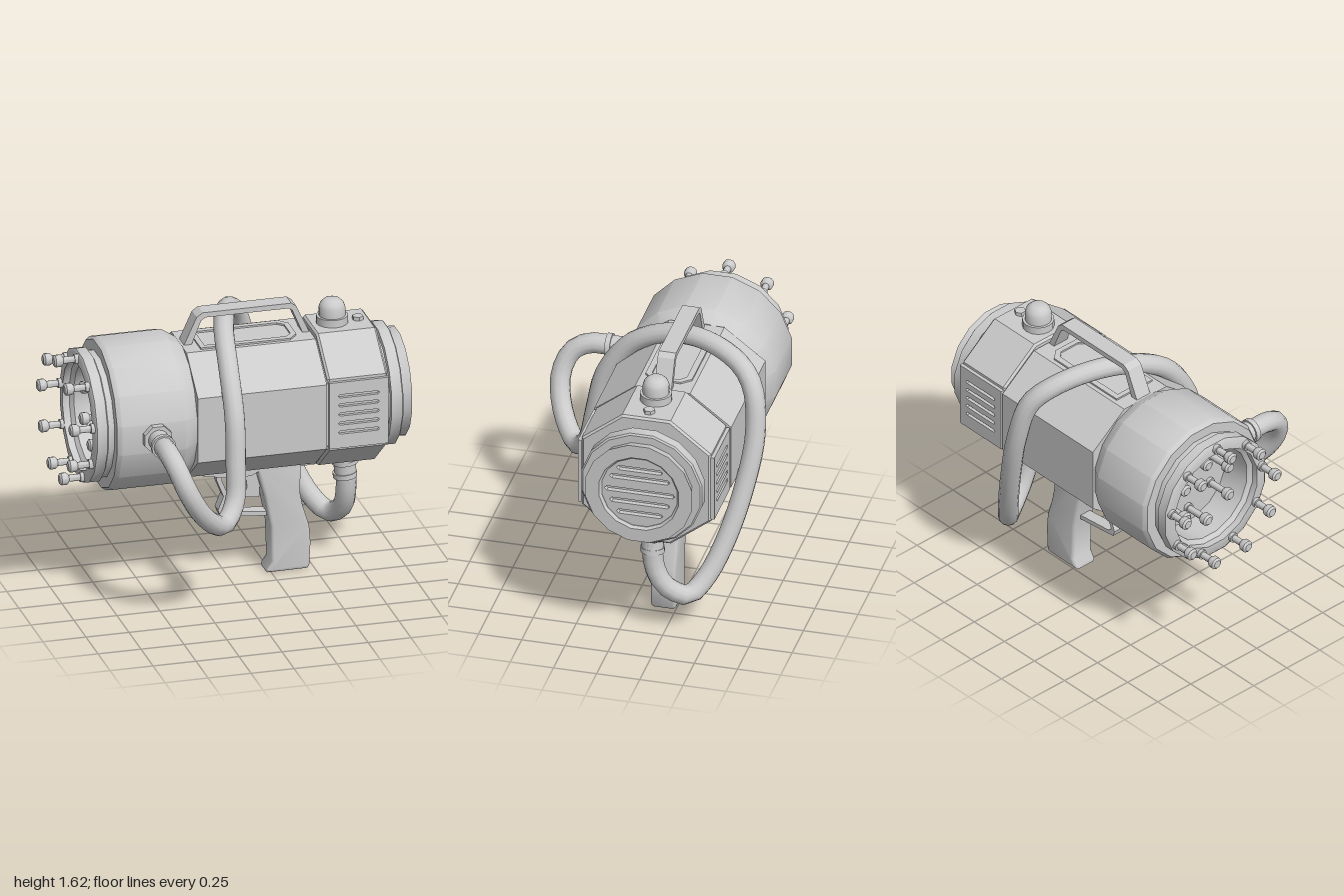
import * as THREE from 'three';
import { toCreasedNormals } from 'three/addons/utils/BufferGeometryUtils.js';

const CY = 1.055, CZ = -0.178; // main axis of the body, along x
const mat = new THREE.MeshStandardMaterial({ color: 0xcccccc, side: THREE.DoubleSide });

function add(parent, name, geo, x = 0, y = 0, z = 0, crease = 0.6) {
  const m = new THREE.Mesh(toCreasedNormals(geo, crease), mat);
  m.name = name;
  m.position.set(x, y, z);
  parent.add(m);
  return m;
}

const poly = (pts) => new THREE.Shape(pts.map(([x, y]) => new THREE.Vector2(x, y)));

// Profile of [radius, x] points turned about the x axis, flats facing up and down
function turned(pts, sides) {
  const step = (Math.PI * 2) / sides;
  return new THREE.LatheGeometry(pts.map(([r, x]) => new THREE.Vector2(r, x)), sides, step / 2)
    .rotateZ(-Math.PI / 2);
}

// Extrusion centred on z, with an optional inward bevel that keeps the outline
function slab(shape, width, bevel = 0, bevelSegments = 1) {
  const depth = width - 2 * bevel;
  return new THREE.ExtrudeGeometry(shape, {
    depth, bevelEnabled: bevel > 0, bevelSize: bevel, bevelThickness: bevel,
    bevelOffset: -bevel, bevelSegments, curveSegments: 16,
  }).translate(0, 0, -depth / 2);
}

// Slot with pointed ends
function slot(x, y, half, h = 0.014) {
  return poly([[x - half, y], [x - half + h, y - h], [x + half - h, y - h],
    [x + half, y], [x + half - h, y + h], [x - half + h, y + h]]);
}

// Octagonal section running from x0 to x1
function octagon(w, h, topHalf, sideHalf, x0, x1, bevel) {
  const s = poly([[topHalf, -h], [w, -sideHalf], [w, sideHalf], [topHalf, h],
    [-topHalf, h], [-w, sideHalf], [-w, -sideHalf], [-topHalf, -h]]);
  return slab(s, x1 - x0, bevel).rotateY(Math.PI / 2).translate((x0 + x1) / 2, 0, 0);
}

// Ring of bolts pointing to -x
function boltRing(parent, name, count, radius, tip, length) {
  const geo = turned([[0, 0], [0.024, 0], [0.036, 0.01], [0.036, 0.04], [0.026, 0.052],
    [0.02, 0.055], [0.02, length - 0.03], [0.029, length - 0.03], [0.029, length]], 10);
  for (let i = 0; i < count; i++) {
    const a = Math.PI / 2 + (i * Math.PI * 2) / count;
    add(parent, name, geo, tip, radius * Math.sin(a), radius * Math.cos(a), 0.7);
  }
}

export function createModel() {
  const root = new THREE.Group();
  root.name = 'hoseBlaster';
  const body = new THREE.Group();
  body.name = 'body';
  body.position.set(0, CY, CZ);
  root.add(body);

  // Open barrel with stepped muzzle ring and taper into the body
  add(body, 'barrel', turned([[0, -0.62], [0.29, -0.62], [0.29, -0.8], [0.315, -0.82], [0.315, -0.86],
    [0.37, -0.86], [0.385, -0.85], [0.385, -0.79], [0.365, -0.78], [0.365, -0.745], [0.425, -0.745],
    [0.442, -0.72], [0.442, -0.35], [0.39, -0.27], [0, -0.27]], 16));
  boltRing(body, 'muzzleBolt', 9, 0.345, -1, 0.15);
  boltRing(body, 'innerBolt', 6, 0.19, -0.8, 0.19);

  // Octagonal middle and rear housings
  add(body, 'middleHousing', octagon(0.398, 0.378, 0.16, 0.195, -0.27, 0.48), 0, 0, 0, 0.3);
  add(body, 'housingSeam', octagon(0.37, 0.365, 0.14, 0.19, 0.47, 0.51), 0, 0, 0, 0.3);
  add(body, 'rearHousing', octagon(0.375, 0.4, 0.14, 0.216, 0.49, 0.84, 0.012), 0, 0, 0, 0.3);

  // Slotted side vents on both sides of the rear housing
  const plate = poly([[-0.172, -0.2], [0.172, -0.2], [0.172, 0.2], [-0.172, 0.2]]);
  for (let i = 0; i < 5; i++) plate.holes.push(slot(0, 0.115 - i * 0.055, 0.12, 0.01));
  const plateGeo = slab(plate, 0.022);
  for (const s of [1, -1]) add(body, 'sideVent', plateGeo, 0.667, 0, s * 0.384, 0.3);

  // Rear rings, flared lip and slotted end grille
  add(body, 'rearRing', turned([[0.335, 0.83], [0.335, 0.865], [0.355, 0.87], [0.355, 0.932],
    [0.345, 0.94], [0.298, 0.94], [0.315, 1], [0.235, 1], [0.222, 0.985], [0.222, 0.95], [0, 0.95]], 16));
  const grille = new THREE.Shape().absarc(0, 0, 0.224, 0, Math.PI * 2);
  [[0.143, 0.135], [0.085, 0.175], [0, 0.205], [-0.07, 0.175], [-0.14, 0.135]]
    .forEach(([y, half]) => grille.holes.push(slot(0, y, half)));
  add(body, 'endGrille', slab(grille, 0.03).rotateY(Math.PI / 2), 0.965, 0, 0, 0.3);

  // Raised frame on top of the middle housing
  const frame = poly([[-0.18, 0.135], [0.34, 0.135], [0.39, 0.08], [0.39, -0.08], [0.34, -0.135], [-0.18, -0.135]]);
  frame.holes.push(poly([[-0.15, 0.1], [0.325, 0.1], [0.36, 0.065], [0.36, -0.065], [0.325, -0.1], [-0.15, -0.1]]));
  add(body, 'topFrame', slab(frame, 0.016).rotateX(-Math.PI / 2), 0, 0.38, 0, 0.3);

  // Carrying handle
  const handle = poly([[-0.26, 1.42], [-0.18, 1.595], [-0.145, 1.618], [0.37, 1.618], [0.4, 1.595],
    [0.48, 1.42], [0.44, 1.42], [0.375, 1.575], [0.355, 1.588], [-0.13, 1.588], [-0.155, 1.57], [-0.215, 1.42]]);
  add(root, 'carryHandle', slab(handle, 0.1), 0, 0, CZ, 0.3);

  // Domed cap and small hex knob on the rear housing
  add(root, 'capBase', new THREE.CylinderGeometry(0.09, 0.09, 0.05, 16), 0.62, 1.475, CZ);
  const dome = [[0.075, 0], [0.075, 0.055], [0.066, 0.08], [0.045, 0.1], [0.03, 0.105], [0, 0.106]];
  add(root, 'domeCap', new THREE.LatheGeometry(dome.map(([r, y]) => new THREE.Vector2(r, y)), 20), 0.62, 1.495, CZ);
  add(root, 'hexKnob', new THREE.CylinderGeometry(0.032, 0.032, 0.03, 6), 0.77, 1.462, CZ);

  // Under rail, grip, trigger and guard
  const rail = poly([[-0.2, 0.69], [-0.15, 0.635], [0, 0.605], [0.13, 0.605], [0.17, 0.625], [0.54, 0.635], [0.54, 0.69]]);
  add(root, 'underRail', slab(rail, 0.15), 0, 0, CZ, 0.3);
  const grip = poly([[0.16, 0.66], [0.175, 0.59], [0.21, 0.46], [0.245, 0.28], [0.253, 0.06], [0.225, 0.02], [0.225, 0],
    [0.46, 0.002], [0.473, 0.02], [0.48, 0.16], [0.472, 0.26], [0.435, 0.38], [0.418, 0.47], [0.425, 0.66]]);
  add(root, 'grip', slab(grip, 0.146, 0.02, 3), 0, 0, CZ, 0.7);
  const guard = poly([[-0.065, 0.63], [-0.06, 0.58], [-0.02, 0.48], [-0.052, 0.4], [-0.04, 0.365], [0.23, 0.335],
    [0.23, 0.362], [0.0, 0.385], [-0.025, 0.405], [0.008, 0.48], [-0.03, 0.58], [-0.03, 0.63]]);
  add(root, 'triggerGuard', slab(guard, 0.07), 0, 0, CZ, 0.3);
  const trigger = poly([[0.06, 0.63], [0.075, 0.59], [0.115, 0.56], [0.12, 0.52], [0.1, 0.46], [0.19, 0.45], [0.2, 0.63]]);
  add(root, 'trigger', slab(trigger, 0.05), 0, 0, CZ, 0.3);

  // Hose sweeping from the barrel, over the body and up into the rear housing
  const path = [[-0.52, 1.06, 0.36], [-0.52, 1.06, 0.5], [-0.5, 1.01, 0.6], [-0.45, 0.88, 0.655],
    [-0.35, 0.71, 0.62], [-0.2, 0.59, 0.5], [-0.11, 0.68, 0.41], [-0.09, 0.9, 0.36], [-0.08, 1.15, 0.3],
    [-0.07, 1.38, 0.14], [-0.03, 1.5, -0.1], [0.04, 1.52, -0.33], [0.13, 1.46, -0.53], [0.2, 1.36, -0.625],
    [0.27, 1.1, -0.66], [0.36, 0.8, -0.62], [0.47, 0.5, -0.54], [0.57, 0.3, -0.45], [0.65, 0.225, -0.37],
    [0.7, 0.3, -0.25], [0.705, 0.42, -0.19], [0.7, 0.58, CZ]].map((p) => new THREE.Vector3(...p));
  add(root, 'hose', new THREE.TubeGeometry(new THREE.CatmullRomCurve3(path), 72, 0.058, 12), 0, 0, 0, 0.9);

  // Barrel hose fitting
  const ring = (r, h, n) => new THREE.CylinderGeometry(r, r, h, n);
  add(root, 'fittingNut', ring(0.085, 0.05, 8).rotateX(Math.PI / 2).rotateZ(Math.PI / 8), -0.52, 1.06, 0.27);
  add(root, 'fittingPipe', ring(0.06, 0.14, 16).rotateX(Math.PI / 2), -0.52, 1.06, 0.33);
  add(root, 'fittingCollar', ring(0.07, 0.03, 16).rotateX(Math.PI / 2), -0.52, 1.06, 0.392);

  // Rear hose fitting
  [[0.083, 0.05, 0.645], [0.075, 0.03, 0.61], [0.063, 0.1, 0.57], [0.069, 0.03, 0.525]].forEach(([r, h, y]) => {
    add(root, 'rearFitting', ring(r, h, 16), 0.695, y, CZ).rotation.z = 0.1;
  });

  return root;
}
